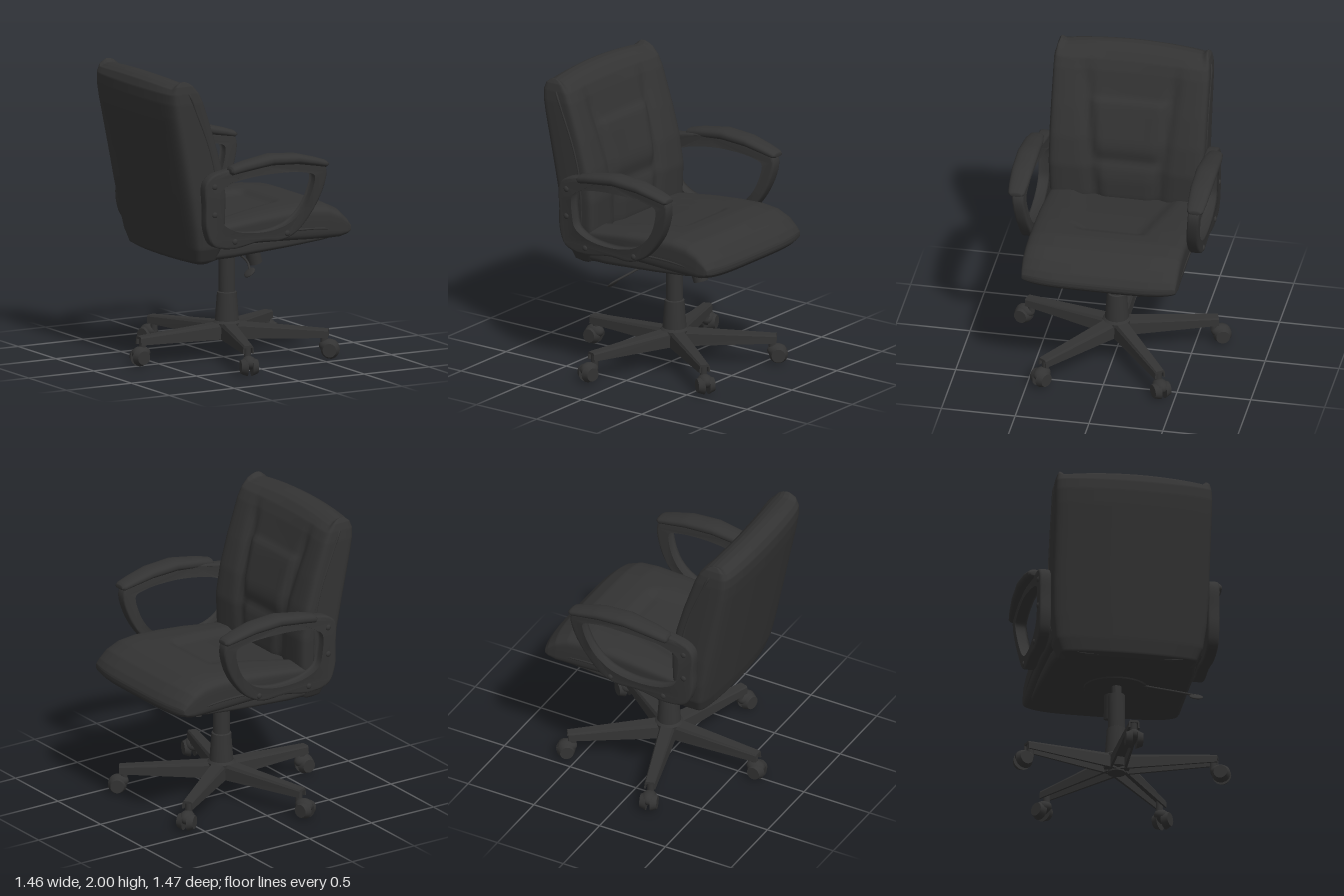
import * as THREE from 'three';
import { toCreasedNormals } from 'three/addons/utils/BufferGeometryUtils.js';

const charcoal = new THREE.MeshStandardMaterial({ color: 0x333333, side: THREE.DoubleSide });
charcoal.name = 'charcoal';
const { smoothstep, lerp } = THREE.MathUtils;

function add(parent, name, geometry, x = 0, y = 0, z = 0) {
  const mesh = new THREE.Mesh(geometry, charcoal);
  mesh.name = name;
  mesh.position.set(x, y, z);
  parent.add(mesh);
  return mesh;
}

// Padded body lofted along 'x' or 'y'. Rows are [position, low, high, half width in z];
// round sets how square the cross-section is, deform(point, z fraction, onHighSide) shapes it.
function padded(rows, along, { round = 8, steps = 5, n = 48, deform } = {}) {
  const fine = [];
  for (let i = 0; i < rows.length - 1; i++)
    for (let s = 0; s < steps; s++) fine.push(rows[i].map((v, j) => lerp(v, rows[i + 1][j], s / steps)));
  fine.push(rows[rows.length - 1]);
  const pos = [], index = [], count = 2 * n;
  for (const [u, lo, hi, w] of fine) {
    for (let i = 0; i < count; i++) {
      const top = i < n, j = top ? i : count - 1 - i;
      const k = Math.sin(((j + 0.5) / n - 0.5) * Math.PI);
      const e = Math.pow(1 - Math.pow(Math.abs(k), round), 1 / round);
      const v = (lo + hi) / 2 + (top ? e : -e) * (hi - lo) / 2;
      const p = along === 'y' ? new THREE.Vector3(v, u, k * w) : new THREE.Vector3(u, v, k * w);
      if (deform) deform(p, k, top);
      pos.push(p.x, p.y, p.z);
    }
  }
  const last = fine.length - 1;
  for (let r = 0; r < last; r++)
    for (let i = 0; i < count; i++) {
      const a = r * count + i, b = r * count + (i + 1) % count;
      index.push(a, b, a + count, b, b + count, a + count);
    }
  // Close both ends with strips
  for (let i = 0; i < n - 1; i++) {
    const a = i, b = i + 1, c = count - 1 - i, d = count - 2 - i, o = last * count;
    index.push(a, c, b, b, c, d, o + a, o + b, o + c, o + b, o + d, o + c);
  }
  // Turn the faces outward if the enclosed volume is negative
  let volume = 0;
  const at = i => new THREE.Vector3().fromArray(pos, 3 * i);
  for (let i = 0; i < index.length; i += 3)
    volume += at(index[i]).dot(at(index[i + 1]).cross(at(index[i + 2])));
  if (volume < 0) index.reverse();
  const g = new THREE.BufferGeometry();
  g.setAttribute('position', new THREE.Float32BufferAttribute(pos, 3));
  g.setIndex(index);
  g.computeVertexNormals();
  return g;
}

const curve3 = (pts, closed = false) =>
  new THREE.CatmullRomCurve3(pts.map(p => new THREE.Vector3(p[0], p[1], p[2] || 0)), closed);
const outline = pts => curve3(pts, true).getPoints(72).slice(0, -1).map(p => new THREE.Vector2(p.x, p.y));
const tube = (pts, r) => new THREE.TubeGeometry(curve3(pts), 32, r, 8);

function makeBackrest(parent) {
  const rows = [
    [0.735, -0.47, -0.4, 0.42], [0.76, -0.51, -0.34, 0.46], [0.85, -0.535, -0.31, 0.5],
    [1.0, -0.565, -0.292, 0.52], [1.2, -0.605, -0.287, 0.53], [1.4, -0.645, -0.32, 0.53],
    [1.6, -0.685, -0.378, 0.53], [1.75, -0.715, -0.43, 0.53], [1.85, -0.73, -0.465, 0.53],
    [1.92, -0.73, -0.5, 0.525], [1.97, -0.71, -0.545, 0.515], [1.99, -0.68, -0.58, 0.505], [2.0, -0.655, -0.615, 0.5],
  ];
  add(parent, 'backrest', padded(rows, 'y', {
    steps: 8,
    deform(p, k, front) {
      const z = Math.abs(p.z), y = p.y;
      p.x += 0.033 * k * k;
      // Slightly raised corners along the top
      p.y += smoothstep(y, 1.9, 2) * (0.025 * smoothstep(Math.abs(k), 0.92, 0.99) - 0.025 * k * k);
      if (!front) return;
      // Grooves beside the bolsters and a padded panel with a seam above and below
      const half = lerp(0.21, 0.3, (y - 1) / 0.85);
      const fade = smoothstep(y, 0.8, 0.95) * (1 - smoothstep(y, 1.72, 1.98));
      const inside = 1 - smoothstep(z, half - 0.05, half);
      p.x -= fade * (0.008 * (1 - smoothstep(z, half, half + 0.1)) + 0.022 * Math.exp(-(((z - half) / 0.035) ** 2)));
      p.x += 0.018 * inside * smoothstep(y, 0.85, 1) * (1 - smoothstep(y, 1.1, 1.25));
      p.x += 0.018 * inside * smoothstep(y, 1.26, 1.36) * (1 - smoothstep(y, 1.65, 1.69));
      p.x -= 0.008 * inside * Math.exp(-(((y - 1.25) / 0.03) ** 2));
    },
  }));
  for (const s of [1, -1])
    add(parent, 'backrestPiping', tube([[-0.6, 1.95, s * 0.47], [-0.57, 1.92, s * 0.52], [-0.51, 1.78, s * 0.527], [-0.42, 1.55, s * 0.527],
      [-0.37, 1.35, s * 0.527], [-0.36, 1.1, s * 0.522], [-0.38, 0.93, s * 0.505], [-0.39, 0.88, s * 0.47]], 0.008));
}

function makeSeat(parent) {
  const bow = (p, k) => { p.x -= 0.045 * Math.pow(k, 4) * smoothstep(p.x, 0.2, 0.7); };
  add(parent, 'seatCushion', padded([
    [-0.42, 0.86, 0.98, 0.5], [-0.3, 0.84, 1.01, 0.52], [0, 0.84, 1.05, 0.53], [0.2, 0.83, 1.07, 0.53],
    [0.4, 0.82, 1.08, 0.53], [0.54, 0.82, 1.065, 0.53], [0.64, 0.825, 1.02, 0.53],
    [0.7, 0.845, 0.96, 0.525], [0.725, 0.87, 0.92, 0.52], [0.73, 0.885, 0.905, 0.51],
  ], 'x', {
    round: 6,
    steps: 8,
    deform(p, k, top) {
      // Sunken centre panel, narrowing toward the front roll
      const half = lerp(0.3, 0.2, (p.x + 0.25) / 0.53);
      if (top) p.y -= 0.03 * (1 - smoothstep(p.x, 0.25, 0.3)) * (1 - smoothstep(Math.abs(p.z), half - 0.02, half + 0.06));
      bow(p, k);
    },
  }));
  add(parent, 'seatShell', padded([
    [-0.48, 0.745, 0.86, 0.42], [-0.42, 0.732, 0.9, 0.46], [-0.2, 0.745, 0.9, 0.49], [0.2, 0.78, 0.9, 0.5],
    [0.5, 0.81, 0.9, 0.5], [0.62, 0.825, 0.89, 0.48], [0.66, 0.84, 0.87, 0.46],
  ], 'x', { round: 4, deform: bow }));
  for (const s of [1, -1])
    add(parent, 'seatPiping', tube([[-0.32, 0.9, s * 0.48], [-0.25, 0.905, s * 0.52], [0, 0.915, s * 0.527], [0.35, 0.92, s * 0.527],
      [0.56, 0.9, s * 0.515], [0.64, 0.885, s * 0.48]], 0.008));
}

function makeArm(parent, s) {
  const arm = new THREE.Group();
  arm.name = s > 0 ? 'armPlusZ' : 'armMinusZ';
  parent.add(arm);
  const shape = new THREE.Shape(outline([
    [-0.48, 1.0], [-0.485, 1.15], [-0.485, 1.31], [-0.43, 1.365], [-0.3, 1.395], [-0.15, 1.42], [0, 1.43], [0.25, 1.41],
    [0.4, 1.38], [0.43, 1.32], [0.4, 1.18], [0.33, 1.05], [0.22, 0.93], [0.1, 0.88], [-0.07, 0.885], [-0.28, 0.855], [-0.43, 0.89],
  ]));
  shape.holes.push(new THREE.Path(outline([
    [-0.385, 1.1], [-0.385, 1.26], [-0.29, 1.315], [-0.15, 1.345], [0.05, 1.358], [0.25, 1.345], [0.345, 1.31],
    [0.335, 1.2], [0.27, 1.07], [0.17, 0.985], [0.05, 0.945], [-0.1, 0.935], [-0.26, 0.96], [-0.36, 1.02],
  ])));
  let frame = new THREE.ExtrudeGeometry(shape, {
    depth: 0.05, bevelThickness: 0.014, bevelSize: 0.014, bevelOffset: -0.014, bevelSegments: 3,
  });
  // The frame leans outward toward the top front
  const p = frame.attributes.position;
  for (let i = 0; i < p.count; i++) {
    const lean = 0.028 * smoothstep(p.getY(i), 1.0, 1.4) * smoothstep(p.getX(i), -0.35, 0.05);
    p.setZ(i, p.getZ(i) - 0.025 + s * (0.569 + lean));
  }
  frame = toCreasedNormals(frame, 0.7);
  add(arm, 'armFrame', frame);
  add(arm, 'armPad', padded([
    [-0.31, 1.375, 1.4, 0.035], [-0.295, 1.36, 1.42, 0.05], [-0.2, 1.375, 1.445, 0.063], [0, 1.4, 1.477, 0.073],
    [0.2, 1.39, 1.462, 0.072], [0.34, 1.365, 1.425, 0.064], [0.415, 1.35, 1.4, 0.055], [0.435, 1.36, 1.385, 0.04],
  ], 'x', { round: 2.4, n: 16, steps: 3 }), 0, 0, s * 0.606);
  for (const [x, y] of [[-0.42, 1.29], [-0.42, 1.1], [-0.265, 0.905], [0.137, 0.925]]) {
    const bolt = add(arm, 'armBolt', new THREE.SphereGeometry(0.02, 16, 10), x, y, s * 0.607);
    bolt.scale.z = 0.6;
  }
}

function makeMechanism(parent) {
  const plate = add(parent, 'mountPlate', new THREE.CylinderGeometry(0.22, 0.21, 0.02, 32), 0.06, 0.768, 0);
  plate.rotation.z = 0.087;
  const knob = add(parent, 'tensionKnob', new THREE.CylinderGeometry(0.054, 0.05, 0.19, 14), 0.217, 0.705, 0);
  knob.rotation.z = 0.28;
  add(parent, 'lever', tube([[-0.02, 0.775, 0.05], [-0.025, 0.75, 0.2], [-0.05, 0.715, 0.4], [-0.09, 0.682, 0.5]], 0.008));
  const paddle = add(parent, 'leverPaddle', new THREE.SphereGeometry(1, 16, 12), -0.1, 0.667, 0.515);
  paddle.scale.set(0.043, 0.011, 0.047);
  paddle.rotation.z = 0.75;
}

function makeBase(parent) {
  const base = new THREE.Group();
  base.name = 'base';
  base.position.x = 0.025;
  parent.add(base);
  // Gas column, sleeve and hub turned as one stepped profile
  const profile = [[0, 0.12], [0.06, 0.12], [0.06, 0.14], [0.085, 0.15], [0.095, 0.235], [0.08, 0.25], [0.066, 0.44],
    [0.056, 0.445], [0.056, 0.69], [0.034, 0.692], [0.034, 0.79], [0, 0.79]];
  add(base, 'column', toCreasedNormals(new THREE.LatheGeometry(profile.map(q => new THREE.Vector2(...q)), 28), 0.6));
  // Five tapered legs, hollow underneath
  const section = new THREE.Shape([[-1, 0], [-0.7, 0], [-0.7, 0.7], [0.7, 0.7], [0.7, 0], [1, 0], [0.9, 0.8], [0.7, 1],
    [-0.7, 1], [-0.9, 0.8]].map(q => new THREE.Vector2(...q)));
  // Each caster is swivelled a little differently, so its distance varies
  [0.67, 0.705, 0.692, 0.692, 0.705].forEach((reach, i) => {
    const spoke = new THREE.Group();
    spoke.name = 'spoke';
    spoke.rotation.y = -Math.PI / 2 + i * Math.PI * 0.4;
    base.add(spoke);
    const leg = new THREE.ExtrudeGeometry(section, { depth: 1, bevelEnabled: false });
    const p = leg.attributes.position;
    for (let j = 0; j < p.count; j++) {
      const t = p.getZ(j);
      p.setXYZ(j, p.getX(j) * lerp(0.058, 0.038, t), lerp(lerp(0.13, 0.145, t), lerp(0.24, 0.2, t), p.getY(j)), lerp(0.03, 0.68, t));
    }
    leg.computeVertexNormals();
    add(spoke, 'leg', leg);
    // Twin-wheel caster under a rounded hood
    add(spoke, 'casterStem', new THREE.CylinderGeometry(0.024, 0.024, 0.1, 12), 0, 0.145, 0.65);
    const hood = add(spoke, 'casterHood', new THREE.SphereGeometry(1, 20, 14), 0, 0.088, reach - 0.01);
    hood.scale.set(0.05, 0.046, 0.066);
    for (const s of [1, -1]) {
      const wheel = add(spoke, 'casterWheel', new THREE.CylinderGeometry(0.046, 0.063, 0.042, 18), s * 0.037, 0.063, reach);
      wheel.rotation.z = -s * Math.PI / 2;
    }
  });
}

export function createModel() {
  const chair = new THREE.Group();
  chair.name = 'officeChair';
  makeBackrest(chair);
  makeSeat(chair);
  for (const s of [1, -1]) makeArm(chair, s);
  makeMechanism(chair);
  makeBase(chair);
  return chair;
}
